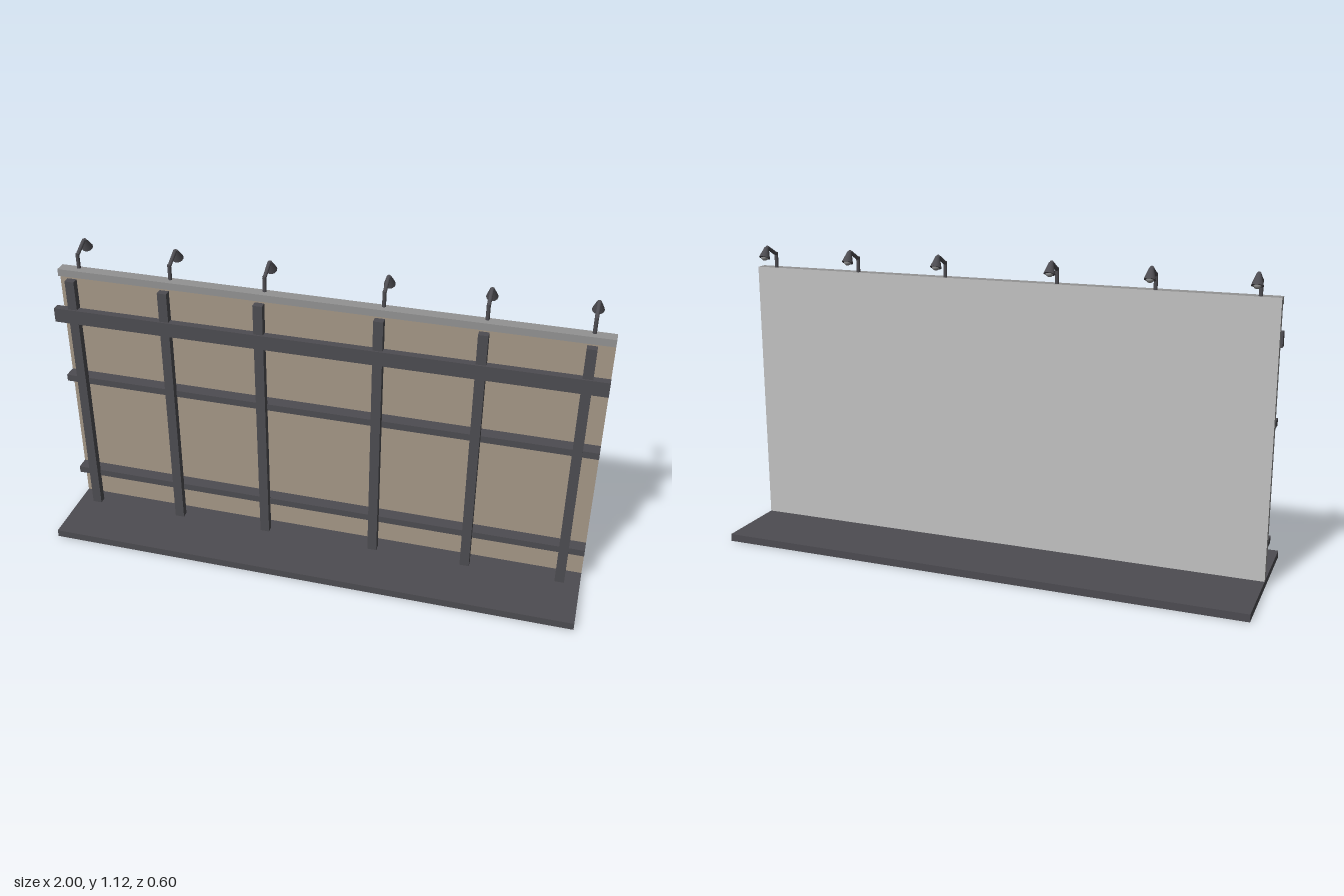
import * as THREE from 'three';

const mat = (name, color) => new THREE.MeshStandardMaterial({ name, color });

export function createModel() {
  const dark = mat('darkSteel', 0x4d4c51);
  const grey = mat('greyFrame', 0x929292);
  const tan = mat('tanBoard', 0xa59787);
  const pale = mat('paleFace', 0xc2c2c2);
  const model = new THREE.Group();
  model.name = 'billboard';

  // Box given by its y and z ranges, centred on x
  const bar = (name, x, width, [y0, y1], [z0, z1], material) => {
    const mesh = new THREE.Mesh(new THREE.BoxGeometry(width, y1 - y0, z1 - z0), material);
    mesh.name = name;
    mesh.position.set(x, (y0 + y1) / 2, (z0 + z1) / 2);
    model.add(mesh);
  };

  // Base slab
  bar('base', 0, 2, [0, 0.028], [-0.3, 0.3], dark);

  // Board: grey edges, tan front, pale display face at the back
  bar('board', 0, 2, [0.015, 1.003], [-0.013, 0.015], [grey, grey, grey, grey, tan, pale]);
  bar('topRail', 0, 2, [1.003, 1.03], [-0.013, 0.03], [grey, grey, grey, grey, grey, pale]);

  // Horizontal beams
  bar('upperBeam', 0, 2, [0.847, 0.902], [0.066, 0.094], dark);
  bar('middleBeam', 0, 2, [0.576, 0.602], [0.015, 0.064], dark);
  bar('lowerBeam', 0, 2, [0.147, 0.173], [0.015, 0.064], dark);

  // Round rod between two points, tapered if the radii differ
  const up = new THREE.Vector3(0, 1, 0);
  const rod = (name, a, b, ra, rb, material) => {
    const d = b.clone().sub(a);
    const mesh = new THREE.Mesh(new THREE.CylinderGeometry(rb, ra, d.length(), 16), material);
    mesh.name = name;
    mesh.position.copy(a).add(b).multiplyScalar(0.5);
    mesh.quaternion.setFromUnitVectors(up, d.normalize());
    return mesh;
  };
  const at = (y, z) => new THREE.Vector3(0, y, z);

  // Lamp: pole, slanting arm, conical shade and bulb aimed at the display face
  const makeLamp = () => {
    const lamp = new THREE.Group();
    lamp.name = 'lamp';
    lamp.add(rod('lampPole', at(1.02, 0), at(1.088, 0), 0.007, 0.007, dark));
    lamp.add(rod('lampArm', at(1.08, 0.002), at(1.114, -0.062), 0.007, 0.007, dark));
    lamp.add(rod('lampShade', at(1.113, -0.065), at(1.076, -0.083), 0.008, 0.021, dark));
    const bulb = new THREE.Mesh(new THREE.SphereGeometry(0.014, 16, 10), grey);
    bulb.name = 'lampBulb';
    bulb.position.set(0, 1.079, -0.0815);
    lamp.add(bulb);
    return lamp;
  };

  // Posts, each with a lamp above
  for (const x of [-0.928, -0.572, -0.217, 0.213, 0.57, 0.925]) {
    bar('post', x, 0.035, [0.028, 1.015], [0.061, 0.088], dark);
    const lamp = makeLamp();
    lamp.position.x = x;
    model.add(lamp);
  }
  return model;
}
